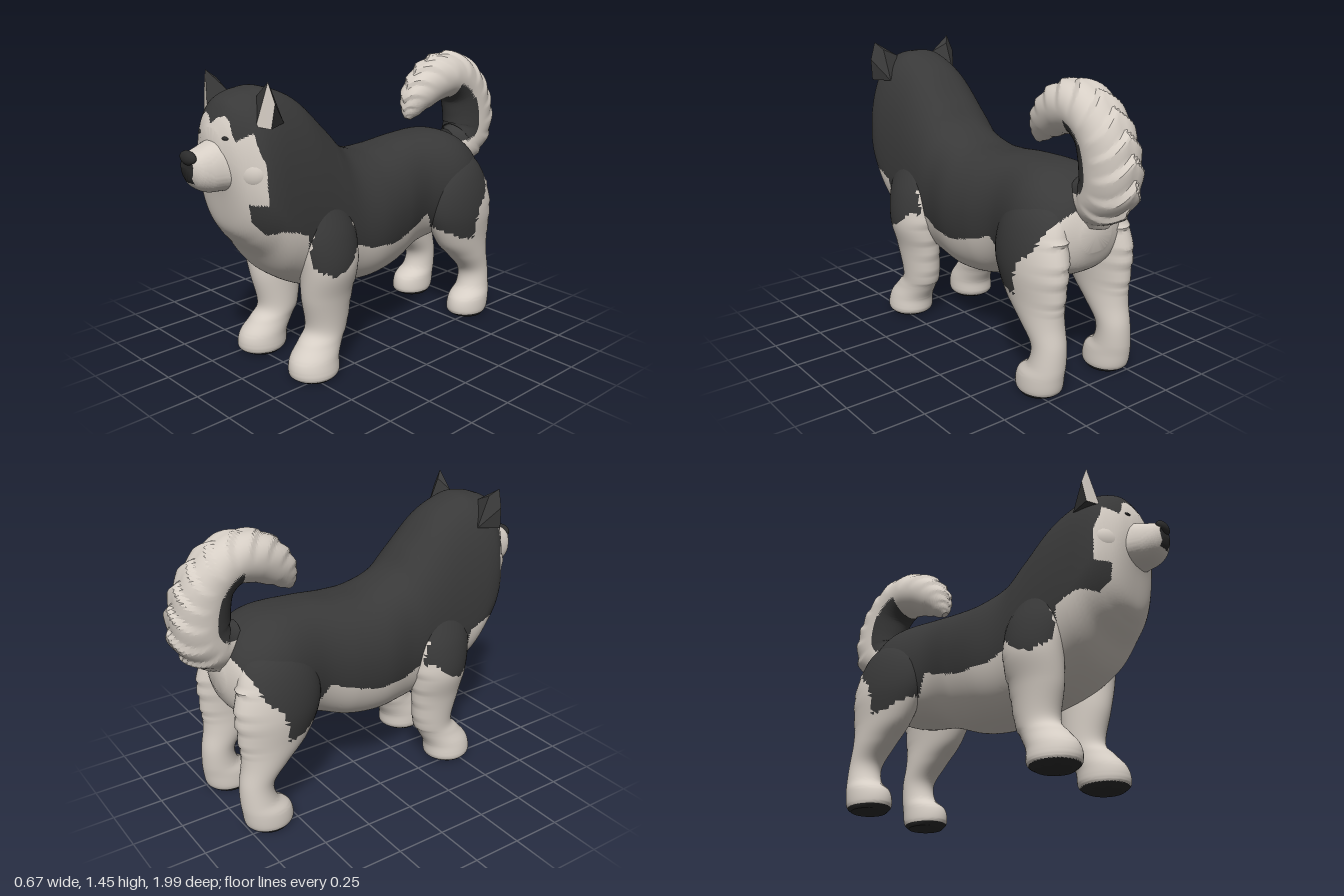
import * as THREE from 'three';
import { toCreasedNormals } from 'three/addons/utils/BufferGeometryUtils.js';
import { ConvexGeometry } from 'three/addons/geometries/ConvexGeometry.js';

const cream = new THREE.MeshStandardMaterial({ color: 0xd6cec5 });
cream.name = 'creamFur';
const dark = new THREE.MeshStandardMaterial({ color: 0x393939 });
dark.name = 'darkFur';
const black = new THREE.MeshStandardMaterial({ color: 0x2c2c2c });
black.name = 'blackSkin';

// Piecewise-linear lookup in [x, y] pairs sorted by x
function lookup(pts, x) {
  if (x <= pts[0][0]) return pts[0][1];
  for (let i = 1; i < pts.length; i++) {
    const [x0, y0] = pts[i - 1], [x1, y1] = pts[i];
    if (x <= x1) return y0 + (y1 - y0) * (x - x0) / (x1 - x0);
  }
  return pts[pts.length - 1][1];
}

// Smoothly interpolate rows of section values to n + 1 rows
function smoothRows(rows, n) {
  const out = [], last = rows.length - 1;
  for (let s = 0; s <= n; s++) {
    const u = s / n * last, i = Math.min(Math.floor(u), last - 1), t = u - i;
    const a = rows[Math.max(i - 1, 0)], b = rows[i], c = rows[i + 1], d = rows[Math.min(i + 2, last)];
    out.push(b.map((_, k) => 0.5 * (2 * b[k] + (c[k] - a[k]) * t
      + (2 * a[k] - 5 * b[k] + 4 * c[k] - d[k]) * t * t
      + (3 * b[k] - a[k] - 3 * c[k] + d[k]) * t * t * t)));
  }
  return out;
}

// Closed skin over rings of points, with fan caps at both ends
function skin(rings) {
  const m = rings[0].length, n = rings.length, pos = [], idx = [];
  rings.forEach(r => r.forEach(p => pos.push(p.x, p.y, p.z)));
  for (let i = 0; i < n - 1; i++) {
    for (let j = 0; j < m; j++) {
      const k = (j + 1) % m, a = i * m + j, b = i * m + k, c = b + m, d = a + m;
      idx.push(a, b, c, a, c, d);
    }
  }
  [0, n - 1].forEach((i, end) => {
    const mid = new THREE.Vector3();
    rings[i].forEach(p => mid.addScaledVector(p, 1 / m));
    pos.push(mid.x, mid.y, mid.z);
    for (let j = 0; j < m; j++) {
      const a = i * m + j, b = i * m + (j + 1) % m;
      if (end) idx.push(a, b, n * m + 1); else idx.push(b, a, n * m);
    }
  });
  const g = new THREE.BufferGeometry();
  g.setAttribute('position', new THREE.Float32BufferAttribute(pos, 3));
  g.setIndex(idx);
  return g;
}

const ring = (m, f) => Array.from({ length: m }, (_, j) => f(j / m * Math.PI * 2));

// Split the faces of a geometry between cream, dark and black by a rule
function paint(name, geo, rule, crease = 0.7) {
  const g = toCreasedNormals(geo, crease), p = g.attributes.position;
  const lists = [[], [], []], v = [0, 1, 2].map(() => new THREE.Vector3());
  const c = new THREE.Vector3(), nor = new THREE.Vector3();
  for (let i = 0; i < p.count; i += 3) {
    v.forEach((q, k) => q.fromBufferAttribute(p, i + k));
    c.copy(v[0]).add(v[1]).add(v[2]).divideScalar(3);
    THREE.Triangle.getNormal(v[0], v[1], v[2], nor);
    lists[rule(c, nor)].push(i, i + 1, i + 2);
  }
  g.setIndex(lists.flat());
  let start = 0;
  lists.forEach((l, k) => {
    if (l.length) g.addGroup(start, l.length, k);
    start += l.length;
  });
  const mesh = new THREE.Mesh(g, [cream, dark, black]);
  mesh.name = name;
  return mesh;
}

// Lower edge of the dark coat along the flank, and the face mask edge
const flank = [[-0.78, 0.95], [-0.72, 0.84], [-0.665, 0.7], [-0.585, 0.64], [-0.56, 0.475], [-0.48, 0.48],
  [-0.34, 0.56], [-0.28, 0.655], [-0.18, 0.61], [-0.02, 0.57], [0.14, 0.58], [0.235, 0.62], [0.29, 0.63],
  [0.355, 0.56], [0.435, 0.525], [0.53, 0.58], [0.545, 0.74], [0.6, 0.77], [0.675, 0.79], [0.74, 0.775],
  [0.785, 0.84], [0.8, 0.92]];
const mask = [[0, 1.255], [0.03, 1.285], [0.07, 1.295], [0.1, 1.275], [0.125, 1.22], [0.14, 1.195], [0.19, 1.23],
  [0.215, 1.165], [0.245, 1.09], [0.256, 0.9]];
function coat(c) {
  const x = Math.abs(c.x);
  if (x < 0.17 && c.y < 0.65) return 0;
  if (c.z > 0.745 && c.y > 0.92) return c.y > lookup(mask, x) ? 1 : 0;
  return c.y > lookup(flank, c.z) ? 1 : 0;
}

// Sections along z: z, top, bottom, half width, height of widest point
function bodyLoft(rows, n, m) {
  return skin(smoothRows(rows, n).map(([z, top, bottom, w, mid]) => ring(m, a => {
    const s = Math.sin(a), c = Math.cos(a);
    return new THREE.Vector3(w * Math.sign(c) * Math.abs(c) ** 0.8, mid + s * (s > 0 ? top - mid : mid - bottom), z);
  })));
}

// Sections along y: y, centre x, centre z, half width, half depth; the back carries a ragged fringe
function legLoft(rows, fringeLow, fringeHigh) {
  return skin(smoothRows(rows, 80).map(([y, cx, cz, rx, rz]) => ring(40, a => {
    const s = Math.sin(a), furry = y > fringeLow && y < fringeHigh && s > 0.3;
    const tuft = furry ? 0.06 * (1 - (y * 11) % 1) * s : 0;
    return new THREE.Vector3(cx + rx * Math.cos(a), y, cz - rz * s * (1 + tuft));
  })));
}

function ellipsoid(x, y, z, rx, ry, rz) {
  return new THREE.SphereGeometry(1, 32, 24).scale(rx, ry, rz).translate(x, y, z);
}

function legRule(c, n) {
  if (c.y < 0.018 && n.y < -0.3 || c.y < 0.008) return 2;
  const inner = c.z > 0 ? Math.abs(c.x) < 0.27 && c.y < 0.75 : Math.abs(c.x) < 0.2 && c.y < 0.65;
  return inner ? 0 : coat(c);
}

// Paired parts for the +x side
function sideParts(name) {
  const g = new THREE.Group();
  g.name = name;
  g.add(paint('frontLeg', legLoft([[0, 0.205, 0.475, 0.09, 0.09], [0.03, 0.205, 0.473, 0.114, 0.127],
    [0.1, 0.2, 0.465, 0.108, 0.127], [0.17, 0.192, 0.42, 0.094, 0.117], [0.24, 0.188, 0.38, 0.092, 0.108],
    [0.4, 0.2, 0.385, 0.1, 0.135], [0.55, 0.22, 0.385, 0.116, 0.152], [0.7, 0.205, 0.395, 0.113, 0.165],
    [0.84, 0.155, 0.41, 0.105, 0.15], [0.95, 0.13, 0.41, 0.07, 0.08]], 0.2, 0.6), legRule));
  g.add(paint('hindLeg', legLoft([[0, 0.21, -0.637, 0.085, 0.09], [0.03, 0.21, -0.637, 0.1, 0.122],
    [0.1, 0.21, -0.65, 0.098, 0.122], [0.16, 0.205, -0.685, 0.085, 0.092], [0.25, 0.2, -0.688, 0.08, 0.087],
    [0.35, 0.2, -0.635, 0.09, 0.125], [0.45, 0.2, -0.585, 0.1, 0.175], [0.6, 0.198, -0.555, 0.118, 0.215],
    [0.74, 0.185, -0.545, 0.115, 0.205], [0.85, 0.155, -0.55, 0.1, 0.16], [0.93, 0.12, -0.55, 0.05, 0.09]], 0.42, 0.75), legRule));
  g.add(paint('cheek', ellipsoid(0.125, 1.05, 0.735, 0.118, 0.1, 0.09), coat));

  // Ear: pointed wedge with a cream inner face
  const ear = [[0.11, 1.37, 0.69], [0.18, 1.255, 0.75], [0.25, 1.25, 0.722], [0.262, 1.36, 0.708],
    [0.23, 1.447, 0.718], [0.2, 1.255, 0.615], [0.2, 1.41, 0.68]];
  g.add(paint('ear', new ConvexGeometry(ear.map(p => new THREE.Vector3(...p))),
    (c, n) => (n.z > 0.25 && c.x > 0.185 ? 0 : 1), 0.2));

  const eye = new THREE.Mesh(ellipsoid(0.09, 1.205, 0.842, 0.02, 0.01, 0.016), black);
  eye.name = 'eye';
  g.add(eye);
  return g;
}

export function createModel() {
  const dog = new THREE.Group();
  dog.name = 'dog';

  // Trunk, ruff and head in one skin
  dog.add(paint('bodyAndHead', bodyLoft([[-0.765, 0.83, 0.67, 0.09, 0.75], [-0.72, 0.92, 0.58, 0.19, 0.75],
    [-0.62, 0.995, 0.52, 0.25, 0.75], [-0.5, 1.03, 0.48, 0.265, 0.75], [-0.3, 1.03, 0.44, 0.235, 0.75],
    [-0.12, 1.01, 0.372, 0.265, 0.72], [0.04, 1.012, 0.35, 0.28, 0.7], [0.19, 1.07, 0.362, 0.262, 0.7],
    [0.3, 1.18, 0.385, 0.262, 0.73], [0.45, 1.325, 0.42, 0.27, 0.76], [0.6, 1.39, 0.51, 0.277, 0.8],
    [0.69, 1.39, 0.63, 0.272, 0.88], [0.75, 1.375, 0.7, 0.25, 0.96], [0.8, 1.35, 0.78, 0.195, 1.03],
    [0.837, 1.295, 0.95, 0.14, 1.1], [0.862, 1.24, 1.04, 0.08, 1.13]], 195, 160), coat));

  // Muzzle with a dark mouth patch, and the nose
  dog.add(paint('muzzle', bodyLoft([[0.76, 1.2, 0.955, 0.15, 1.05], [0.85, 1.185, 0.96, 0.115, 1.05],
    [0.91, 1.165, 0.965, 0.098, 1.05], [0.955, 1.15, 0.99, 0.08, 1.06], [0.985, 1.135, 1.03, 0.048, 1.08]], 50, 80),
    c => (c.z > 0.93 && Math.abs(c.x) < 0.034 && c.y > 1.015 && c.y < 1.12 ? 2 : 0)));
  const nose = new THREE.Mesh(ellipsoid(0, 1.126, 0.976, 0.054, 0.032, 0.024), black);
  nose.name = 'nose';
  dog.add(nose);

  // Curled tail: y, z, half width, half thickness; overlapping tufts on its outer side
  const tail = smoothRows([[0.9, -0.66, 0.08, 0.1], [0.91, -0.76, 0.11, 0.125], [0.995, -0.828, 0.122, 0.147],
    [1.12, -0.82, 0.125, 0.144], [1.23, -0.765, 0.125, 0.127], [1.297, -0.66, 0.122, 0.122], [1.28, -0.53, 0.11, 0.118],
    [1.21, -0.425, 0.085, 0.095], [1.14, -0.375, 0.05, 0.055], [1.1, -0.355, 0.016, 0.018]], 120);
  const spine = [];
  const rings = tail.map(([y, z, w, r], i) => {
    const a = tail[Math.max(i - 1, 0)], b = tail[Math.min(i + 1, 120)];
    const along = new THREE.Vector3(0, b[0] - a[0], b[1] - a[1]).normalize();
    const out = along.clone().cross(new THREE.Vector3(1, 0, 0));
    spine.push({ y, z, out });
    return ring(48, q => {
      const s = Math.sin(q), f = (i / 8 + 0.9 * Math.abs(Math.cos(q))) % 1;
      const saw = f < 0.7 ? f / 0.7 : (1 - f) / 0.3;
      const tuft = 1 + (s > 0 ? 0.14 * s * (saw - 0.45) : 0);
      return new THREE.Vector3(w * tuft * Math.cos(q), y, z).addScaledVector(out, r * tuft * s);
    });
  });
  dog.add(paint('tail', skin(rings), c => {
    let best = 0, near = 9;
    spine.forEach((p, i) => {
      const d = (c.y - p.y) ** 2 + (c.z - p.z) ** 2;
      if (d < near) { near = d; best = i; }
    });
    const p = spine[best], h = (c.y - p.y) * p.out.y + (c.z - p.z) * p.out.z;
    return best < 68 && h < -0.04 ? 1 : 0;
  }, 0.35));

  // Legs, cheeks, ears and eyes on both sides
  const left = sideParts('leftSide'), right = sideParts('rightSide');
  right.scale.x = -1;
  dog.add(left, right);
  return dog;
}
